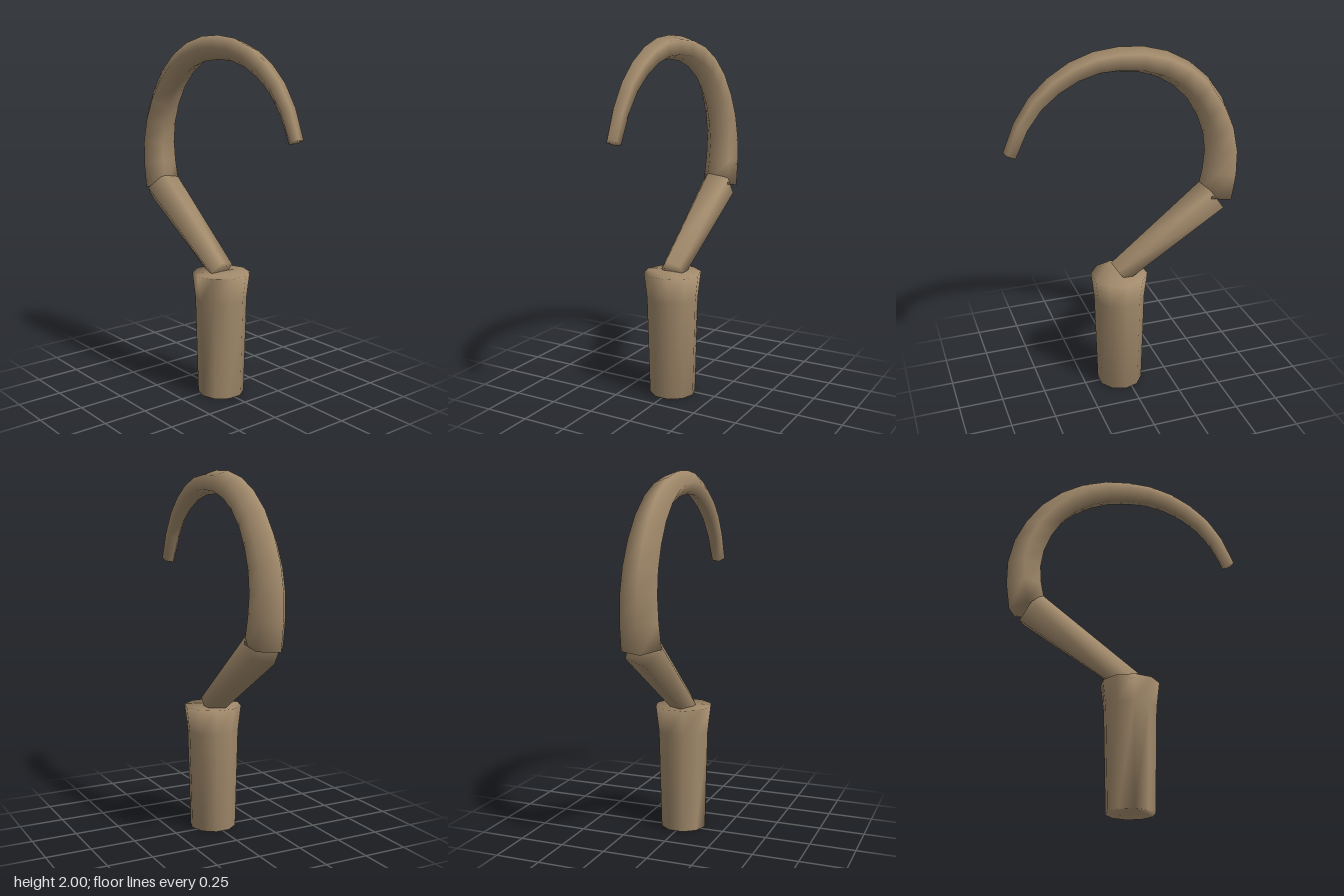
import * as THREE from 'three';

// Closed, smooth tube through [x, y, radius] stations lying in the xy plane.
function loft(name, stations, sides, material) {
  const pos = [], index = [];
  const last = stations.length - 1;
  stations.forEach(([x, y, r], i) => {
    const p = stations[Math.max(i - 1, 0)], q = stations[Math.min(i + 1, last)];
    const t = new THREE.Vector2(q[0] - p[0], q[1] - p[1]).normalize();
    for (let j = 0; j < sides; j++) {
      const a = Math.PI / 2 + (j / sides) * Math.PI * 2; // first corner faces +z
      const n = Math.cos(a) * r;
      pos.push(x - t.y * n, y + t.x * n, Math.sin(a) * r);
    }
  });
  // side walls
  for (let i = 0; i < last; i++) {
    for (let j = 0; j < sides; j++) {
      const k = (j + 1) % sides;
      const a = i * sides + j, b = i * sides + k;
      index.push(a, b, b + sides, a, b + sides, a + sides);
    }
  }
  // end caps
  const e = last * sides;
  for (let j = 1; j < sides - 1; j++) {
    index.push(0, j + 1, j, e, e + j, e + j + 1);
  }
  const geo = new THREE.BufferGeometry();
  geo.setAttribute('position', new THREE.Float32BufferAttribute(pos, 3));
  geo.setIndex(index);
  geo.computeVertexNormals();
  const mesh = new THREE.Mesh(geo, material);
  mesh.name = name;
  return mesh;
}

export function createModel() {
  const wood = new THREE.MeshStandardMaterial({ color: 0xa38b6c });
  wood.name = 'tan wood';

  const group = new THREE.Group();
  group.name = 'sickle';

  // Flared upright handle
  group.add(loft('handle', [[0.037, 0, 0.13], [0.037, 0.56, 0.144], [0.037, 0.705, 0.161]], 10, wood));

  // Slanted shank joining handle and hook
  group.add(loft('shank', [[0.037, 0.713, 0.072], [-0.517, 1.115, 0.106]], 5, wood));

  // Curved hook, tapering evenly to its tip
  const path = [
    [-0.537, 1.117], [-0.562, 1.26], [-0.566, 1.385], [-0.543, 1.51],
    [-0.492, 1.63], [-0.418, 1.74], [-0.322, 1.828], [-0.212, 1.89],
    [-0.09, 1.926], [0.035, 1.936], [0.155, 1.927], [0.272, 1.891],
    [0.38, 1.83], [0.475, 1.748], [0.554, 1.638], [0.62, 1.49],
  ];
  const stations = path.map(([x, y], i) => [x, y, 0.106 - 0.066 * (i / (path.length - 1))]);
  group.add(loft('hook', stations, 5, wood));

  return group;
}
